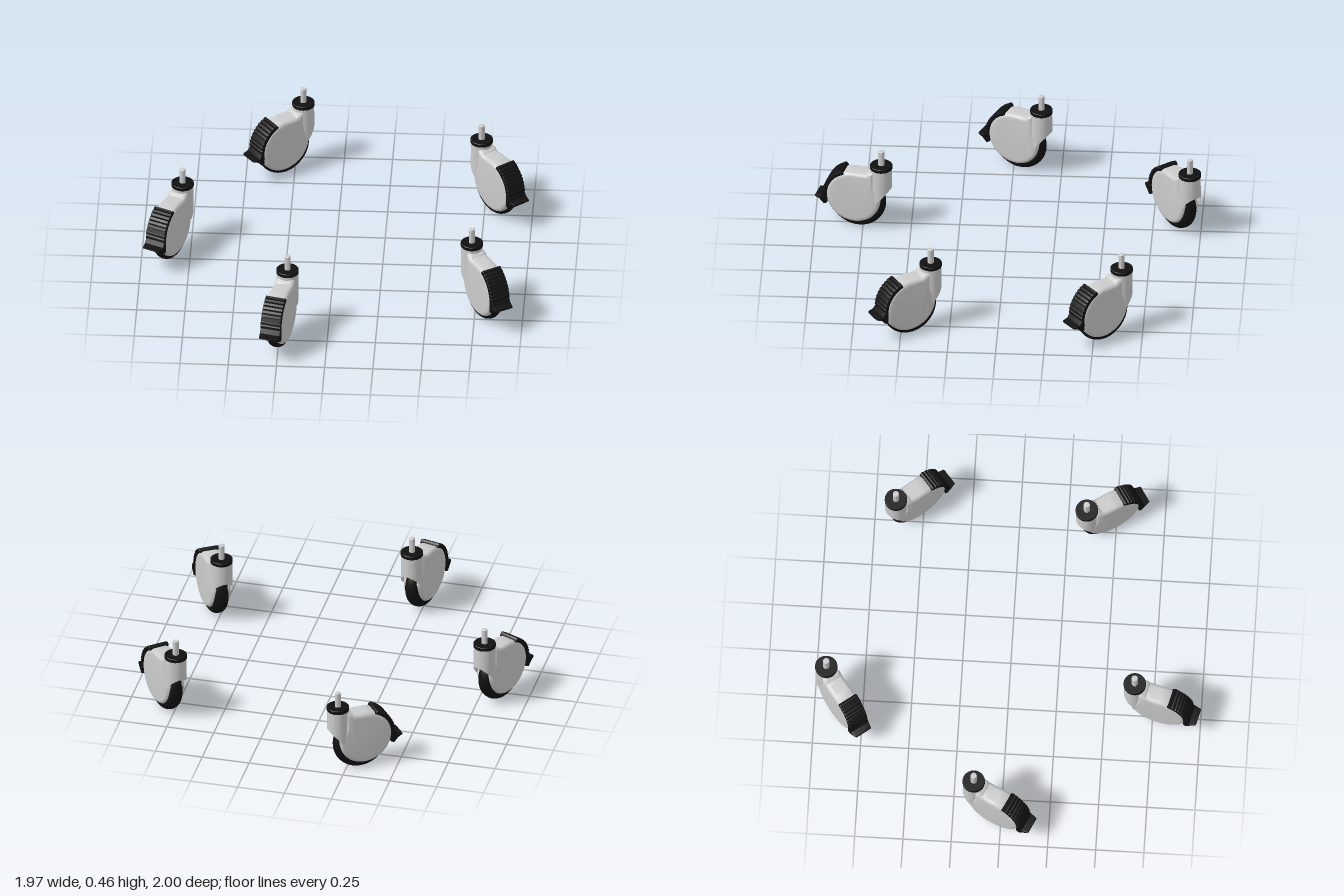
import * as THREE from 'three';
import { toCreasedNormals } from 'three/addons/utils/BufferGeometryUtils.js';

const grey = new THREE.MeshStandardMaterial({ color: 0xcccccc, side: THREE.DoubleSide });
const black = new THREE.MeshStandardMaterial({ color: 0x111111 });

// Local caster frame: +x runs from the stem towards the pedal, z is the wheel axis.
const HUB = [0.14, 0.18]; // centre of the housing arc
const polar = (r, deg) => {
  const a = THREE.MathUtils.degToRad(deg);
  return new THREE.Vector2(HUB[0] + r * Math.cos(a), HUB[1] + r * Math.sin(a));
};

// Extrusion centred on z = 0 with a rounded edge that stays inside the outline
function slab(points, halfWidth, bevel, depth, crease) {
  const geo = new THREE.ExtrudeGeometry(new THREE.Shape(points), {
    depth: 2 * (halfWidth - depth), bevelThickness: depth, bevelSize: bevel,
    bevelOffset: -bevel, bevelSegments: 5, curveSegments: 1,
  });
  geo.translate(0, 0, -(halfWidth - depth));
  return toCreasedNormals(geo, crease);
}

function housingGeometry() {
  const pts = [];
  for (let d = 90; d >= -185; d -= 5) pts.push(polar(0.147, d));
  pts.push(new THREE.Vector2(0.025, 0.25), new THREE.Vector2(0.03, 0.345),
    new THREE.Vector2(0.06, 0.34), new THREE.Vector2(0.072, 0.328), new THREE.Vector2(0.1, 0.327));
  return slab(pts, 0.053, 0.022, 0.022, 0.7);
}

// Swivel neck: the bottom rim is cut on a slope to clear the wheel
function neckGeometry() {
  const geo = new THREE.CylinderGeometry(0.056, 0.057, 0.1, 48, 1, true);
  const p = geo.attributes.position;
  for (let i = 0; i < p.count; i++) {
    const top = p.getY(i) > 0;
    p.setY(i, top ? 0.358 : 0.25 - 1.2 * Math.min(p.getX(i) + 0.057, 0.065));
  }
  geo.computeVertexNormals();
  return geo;
}

// Tyre with a rounded tread
function wheelGeometry() {
  const pts = [new THREE.Vector2(0, -0.04), new THREE.Vector2(0.115, -0.04)];
  for (let i = 0; i <= 12; i++) {
    const a = -Math.PI / 2 + (Math.PI * i) / 12;
    pts.push(new THREE.Vector2(0.118 + 0.032 * Math.cos(a), 0.04 * Math.sin(a)));
  }
  pts.push(new THREE.Vector2(0, 0.04));
  return new THREE.LatheGeometry(pts, 56).rotateX(Math.PI / 2);
}

// Curved brake pedal with grip ridges and a flared tip
function pedalGeometry() {
  const pts = [polar(0.14, 69), polar(0.153, 69)];
  const ridges = 9, step = 66 / ridges;
  for (let i = 0; i < ridges; i++) {
    const d = 67 - i * step;
    pts.push(polar(0.163, d), polar(0.164, d - step * 0.6), polar(0.158, d - step * 0.75));
  }
  pts.push(new THREE.Vector2(0.312, 0.165), new THREE.Vector2(0.344, 0.161),
    new THREE.Vector2(0.346, 0.152), new THREE.Vector2(0.318, 0.143),
    new THREE.Vector2(0.295, 0.118), new THREE.Vector2(0.28, 0.125));
  for (let d = -10; d < 69; d += 8) pts.push(polar(0.14, d));
  const geo = slab(pts, 0.054, 0.002, 0.006, 0.5);
  // Round the tip corners as seen from above
  const p = geo.attributes.position;
  for (let i = 0; i < p.count; i++) {
    const t = Math.max(0, (p.getX(i) - 0.31) / 0.036);
    p.setZ(i, p.getZ(i) * (1 - 0.14 * t * t));
  }
  return geo;
}

function rod(radius, y0, y1, bevel) {
  const pts = [[0, y0], [radius - bevel, y0], [radius, y0 + bevel],
    [radius, y1 - bevel], [radius - bevel, y1], [0, y1]];
  const geo = new THREE.LatheGeometry(pts.map(([x, y]) => new THREE.Vector2(x, y)), 40);
  return toCreasedNormals(geo, 0.5);
}

export function createModel() {
  const model = new THREE.Group();
  model.name = 'casterSet';

  const parts = [
    ['stem', rod(0.016, 0.36, 0.46, 0.003), grey],
    ['swivelCap', rod(0.058, 0.357, 0.378, 0.002), black],
    ['neck', neckGeometry(), grey],
    ['housing', housingGeometry(), grey],
    ['wheel', wheelGeometry().translate(0.125, 0.15, 0), black],
    ['brakePedal', pedalGeometry(), black],
  ];

  // Stem position x, z and trailing direction dx, dz of each caster
  const casters = [
    [-0.21, -0.945, -51, 39],
    [0.73, -0.64, 41, 49],
    [-0.795, -0.145, -28, 59],
    [0.73, 0.35, 34.5, 54.5],
    [-0.21, 0.655, -16, 63],
  ];
  casters.forEach(([x, z, dx, dz], i) => {
    const caster = new THREE.Group();
    caster.name = `caster${i + 1}`;
    for (const [name, geo, mat] of parts) {
      const mesh = new THREE.Mesh(geo, mat);
      mesh.name = name;
      caster.add(mesh);
    }
    caster.position.set(x, 0, z);
    caster.rotation.y = Math.atan2(-dz, dx);
    model.add(caster);
  });
  return model;
}
